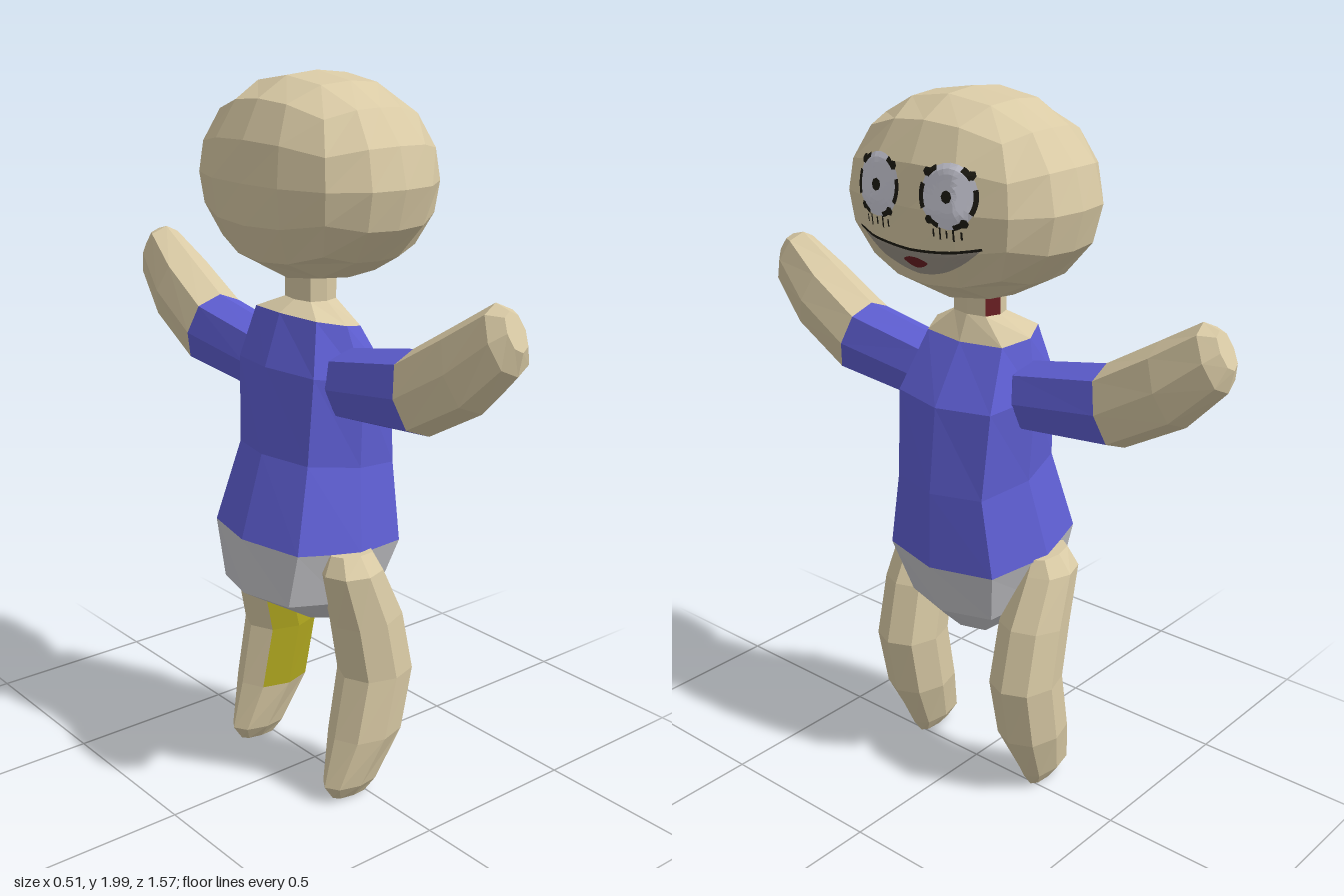
import * as THREE from 'three';

const V = (x, y, z) => new THREE.Vector3(x, y, z);
const mat = (name, color, opts = {}) => {
  const m = new THREE.MeshStandardMaterial({ color, flatShading: true, ...opts });
  m.name = name;
  return m;
};

// Eight-sided ring through p and q, with half-width w across; k squares off the diagonals
function ring(p, q, w, k) {
  const c = p.clone().add(q).multiplyScalar(0.5);
  const h = p.clone().sub(q).multiplyScalar(0.5);
  return Array.from({ length: 8 }, (_, i) => {
    const a = i * Math.PI / 4, s = i % 2 ? k : 1;
    return c.clone().addScaledVector(h, Math.cos(a) * s).addScaledVector(w, Math.sin(a) * s);
  });
}

// Capped loft through rings; pick(segment, side) chooses the material of each face
function loft(name, rings, pick) {
  const tris = new Map();
  let volume = 0;
  const add = (m, a, b, c) => {
    if (!tris.has(m)) tris.set(m, []);
    tris.get(m).push([a, b, c]);
  };
  const last = rings.length - 1;
  for (let s = 0; s < last; s++) {
    for (let i = 0; i < 8; i++) {
      const j = (i + 1) % 8, A = rings[s], B = rings[s + 1], m = pick(s, i);
      add(m, A[i], A[j], B[j]);
      add(m, A[i], B[j], B[i]);
    }
  }
  for (let i = 1; i < 7; i++) {
    add(pick(0, 0), rings[0][0], rings[0][i + 1], rings[0][i]);
    add(pick(last - 1, 0), rings[last][0], rings[last][i], rings[last][i + 1]);
  }
  for (const list of tris.values())
    for (const [a, b, c] of list) volume += a.dot(b.clone().cross(c));
  const group = new THREE.Group();
  group.name = name;
  for (const [m, list] of tris) {
    const pts = list.flatMap(([a, b, c]) => (volume > 0 ? [a, b, c] : [a, c, b]));
    const g = new THREE.BufferGeometry().setFromPoints(pts);
    g.computeVertexNormals();
    const mesh = new THREE.Mesh(g, m);
    mesh.name = `${name} ${m.name}`;
    group.add(mesh);
  }
  return group;
}

export function createModel() {
  const skin = mat('skin', 0xd9caa5);
  const blue = mat('shirt blue', 0x5f5fd4);
  const grey = mat('shorts grey', 0xc6c6ca);
  const yellow = mat('patch yellow', 0xb0a71f);
  const red = mat('dark red', 0x6a1f22);
  const white = mat('eye white', 0xcfcfdb, { side: THREE.DoubleSide });
  const black = mat('ink black', 0x1c1a12, { side: THREE.DoubleSide });
  const lip = mat('mouth grey', 0x9c9488, { side: THREE.DoubleSide });
  const model = new THREE.Group();
  model.name = 'doll';

  // Torso: shorts, shirt, shoulders and neck  [front x, y, back x, y, half width]
  const torso = [
    [0.07, 0.485, -0.1, 0.52, 0.1], [0.15, 0.565, -0.25, 0.61, 0.185],
    [0.2, 0.72, -0.255, 0.77, 0.235], [0.195, 0.94, -0.185, 1.0, 0.19],
    [0.17, 1.18, -0.17, 1.24, 0.205], [0.07, 1.34, -0.12, 1.38, 0.165],
    [0.04, 1.41, -0.07, 1.41, 0.07], [0.04, 1.5, -0.07, 1.5, 0.07],
  ].map(([fx, fy, bx, by, w]) => ring(V(fx, fy, 0), V(bx, by, 0), V(0, 0, w), 1.12));
  model.add(loft('torso', torso, (s, i) =>
    s < 2 ? grey : s < 5 ? blue : s === 6 && i === 6 ? red : skin));

  for (const side of [1, -1]) {
    const label = side > 0 ? 'plus z' : 'minus z';
    // Arm with short sleeve  [upper z, y, lower z, y, half width]
    const arm = [
      [0.13, 1.27, 0.13, 1.15, 0.06], [0.16, 1.3, 0.2, 1.11, 0.09],
      [0.415, 1.348, 0.48, 1.135, 0.096], [0.57, 1.44, 0.66, 1.235, 0.09],
      [0.69, 1.512, 0.77, 1.35, 0.062], [0.735, 1.5, 0.783, 1.41, 0.03],
    ].map(([uz, uy, lz, ly, w]) =>
      ring(V(-0.02, uy, side * uz), V(-0.02, ly, side * lz), V(w, 0, 0), 1.05));
    model.add(loft(`arm ${label}`, arm, s => (s < 2 ? blue : skin)));

    // Bent leg, with a patch inside one of them  [front x, y, back x, y, half width]
    const leg = [
      [0.02, 0.745, -0.12, 0.755, 0.04], [0.04, 0.7, -0.14, 0.7, 0.08],
      [0.11, 0.56, -0.1, 0.54, 0.09], [0.15, 0.38, -0.07, 0.38, 0.093],
      [0.115, 0.2, -0.105, 0.2, 0.088], [0.04, 0.05, -0.14, 0.06, 0.05],
      [0.01, 0.008, -0.11, 0.015, 0.02],
    ].map(([fx, fy, bx, by, w]) =>
      ring(V(fx, fy, side * 0.218), V(bx, by, side * 0.218), V(0, 0, w), 1.03));
    model.add(loft(`leg ${label}`, leg, (s, i) =>
      side < 0 && s > 0 && s < 4 && (i === 1 || i === 2) ? yellow : skin));
  }

  // Head: rounded cube, flatter at the face
  const headGeo = new THREE.BoxGeometry(2, 2, 2, 4, 4, 4);
  const hp = headGeo.attributes.position;
  for (let i = 0; i < hp.count; i++) {
    const d = V(hp.getX(i), hp.getY(i), hp.getZ(i));
    d.set(...d.toArray().map(c => Math.tan(c * Math.PI / 4)));
    const r = (Math.abs(d.x) ** 2.6 + Math.hypot(d.y, d.z) ** 2.6) ** (-1 / 2.6);
    hp.setXYZ(i, 0.007 + d.x * r * 0.248, 1.73 + d.y * r * 0.27, d.z * r * 0.35);
  }
  headGeo.computeVertexNormals();
  const head = new THREE.Mesh(headGeo, skin);
  head.name = 'head';
  model.add(head);
  head.updateMatrixWorld(true);

  // Lay a flat drawing (x across, y up) on the face
  const caster = new THREE.Raycaster();
  function decal(name, geo, material, across, up, lift) {
    const p = geo.attributes.position;
    for (let i = 0; i < p.count; i++) {
      const z = -(p.getX(i) + across), y = p.getY(i) + up;
      caster.set(V(2, y, z), V(-1, 0, 0));
      const hit = caster.intersectObject(head)[0];
      p.setXYZ(i, (hit ? hit.point.x : 0.2) + lift, y, z);
    }
    geo.computeVertexNormals();
    const mesh = new THREE.Mesh(geo, material);
    mesh.name = name;
    model.add(mesh);
  }

  // Eyes with broken ink rims, pupils and smudges below
  for (const s of [-1, 1]) {
    const x = s * 0.117, y = 1.772;
    decal('eye', new THREE.RingGeometry(0.001, 0.08, 24, 6), white, x, y, 0.004);
    decal('pupil', new THREE.CircleGeometry(0.016, 8), black, x, y, 0.007);
    for (const [a, len] of [[-0.5, 0.8], [0.65, 0.45], [2.05, 0.45], [2.8, 0.8], [4.0, 0.4], [5.0, 0.4]])
      decal('eye rim', new THREE.RingGeometry(0.07, 0.083, 6, 1, a, len), black, x, y, 0.007);
    for (const [dx, dy] of [[-0.06, 0.055], [0.06, 0.055], [-0.05, -0.06], [0.05, -0.06]])
      decal('eye spot', new THREE.CircleGeometry(0.012, 6), black, x + dx, y + dy, 0.008);
    for (let i = -2; i <= 2; i++)
      decal('smudge', new THREE.PlaneGeometry(0.005, 0.02 + 0.01 * (i & 1)), black, x + i * 0.02, 1.68, 0.006);
  }

  // Smile: a strip between two curves
  function smile(name, half, top, bottom, material, lift) {
    const g = new THREE.PlaneGeometry(2, 1, 20, 4);
    const p = g.attributes.position;
    for (let i = 0; i < p.count; i++) {
      const u = p.getX(i), v = p.getY(i) + 0.5;
      p.setXY(i, u * half, bottom(u) * (1 - v) + top(u) * v);
    }
    decal(name, g, material, 0, 0, lift);
  }
  const upper = u => 1.625 + 0.025 * u * u;
  smile('mouth', 0.2, upper, u => 1.557 + 0.09 * u * u, lip, 0.005);
  smile('mouth line', 0.205, u => upper(u) + 0.004, u => upper(u) - 0.003, black, 0.008);
  smile('tongue', 0.04, u => 1.605 - 0.012 * u * u, u => 1.575 + 0.015 * u * u, red, 0.008);
  return model;
}
